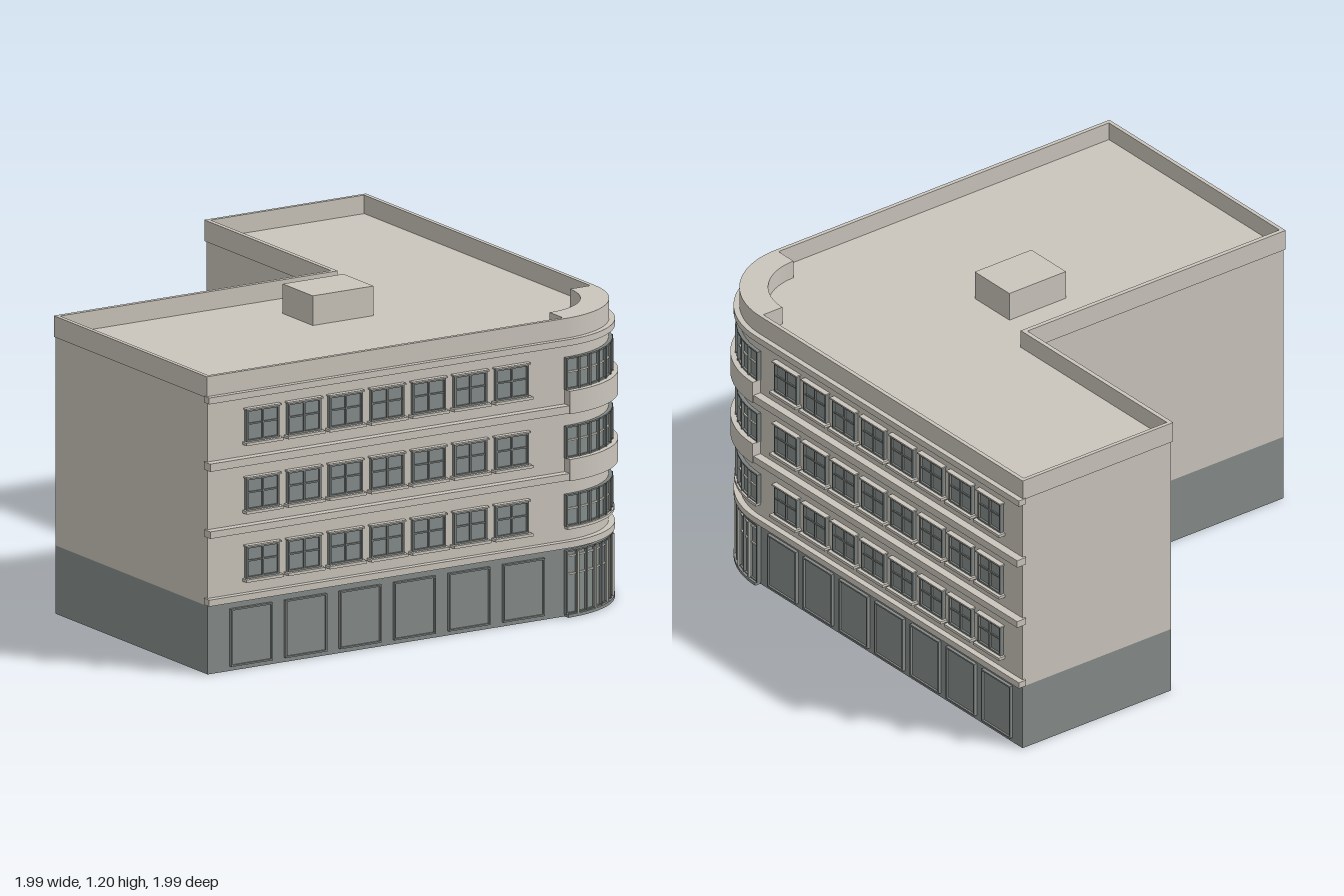
import * as THREE from 'three';
import { toCreasedNormals } from 'three/addons/utils/BufferGeometryUtils.js';

const C = 0.605;          // centre of the rounded corner in x and z
const FACE = 0.96;        // plane of the street walls
const END = 0.985;        // plane of the party walls
const Q = Math.PI / 2;

export function createModel() {
  const model = new THREE.Group();
  model.name = 'cornerBuilding';
  const mat = (name, color) => {
    const m = new THREE.MeshStandardMaterial({ color });
    m.name = name;
    return m;
  };
  const stone = mat('stone', 0xcac5bc);
  const plinth = mat('plinthGrey', 0x858b89);
  const glass = mat('glass', 0x848d8b);
  const frame = mat('frameGrey', 0x7b817f);
  const cream = mat('cream', 0xd9d5c8);

  const add = (parent, name, geo, material) => {
    const m = new THREE.Mesh(geo, material);
    m.name = name;
    parent.add(m);
    return m;
  };
  const box = (parent, name, material, w, h, d, x, y, z) => {
    const m = add(parent, name, new THREE.BoxGeometry(w, h, d), material);
    m.position.set(x, y, z);
    return m;
  };
  // Plan shapes are drawn in x and z, then extruded from y0 to y1
  const slab = (parent, name, shape, y0, y1, material) => {
    const geo = new THREE.ExtrudeGeometry(shape, { depth: y1 - y0, bevelEnabled: false, curveSegments: 24 });
    geo.rotateX(Q).translate(0, y1, 0);
    return add(parent, name, toCreasedNormals(geo, 0.4), material);
  };

  // L-shaped plan, with a rounded, square-notched or thickened street corner
  const plan = (path, face, end, inset, corner) => {
    path.moveTo(-end, -0.1 + inset);
    path.lineTo(0.25 + inset, -0.1 + inset);
    path.lineTo(0.25 + inset, -end);
    path.lineTo(face, -end);
    path.lineTo(face, C);
    if (corner === 'round') path.absarc(C, C, face - C, 0, Q, false);
    if (corner === 'thick') {
      path.lineTo(C + 0.25, C);
      path.absarc(C, C, 0.25, 0, Q, false);
    }
    if (corner === 'notch') path.lineTo(C, C);
    path.lineTo(C, face);
    path.lineTo(-end, face);
    path.closePath();
    return path;
  };
  // Quarter ring around the corner
  const ring = (r0, r1, a0 = 0, a1 = Q) => {
    const s = new THREE.Shape();
    s.absarc(C, C, r1, a0, a1, false);
    s.absarc(C, C, r0, a1, a0, true);
    s.closePath();
    return s;
  };
  // Ribbon along both street fronts
  const strip = (outer, inner, end) => {
    const s = new THREE.Shape();
    s.moveTo(inner, -end);
    s.lineTo(outer, -end);
    s.lineTo(outer, C);
    s.absarc(C, C, outer - C, 0, Q, false);
    s.lineTo(-end, outer);
    s.lineTo(-end, inner);
    s.lineTo(C, inner);
    s.absarc(C, C, inner - C, Q, 0, true);
    s.closePath();
    return s;
  };

  // Main volumes
  slab(model, 'groundFloor', plan(new THREE.Shape(), FACE, END, 0, 'notch'), 0, 0.265, plinth);
  slab(model, 'upperFloors', plan(new THREE.Shape(), FACE, END, 0, 'round'), 0.265, 1.085, stone);
  slab(model, 'groundCornerWall', ring(0.25, 0.355), 0, 0.265, plinth);

  // Parapet, thicker at the rounded corner
  const parapet = plan(new THREE.Shape(), FACE + 0.003, 0.99, -0.006, 'round');
  parapet.holes.push(plan(new THREE.Path(), FACE - 0.014, 0.974, 0.012, 'thick'));
  slab(model, 'parapet', parapet, 1.075, 1.157, stone);
  box(model, 'roofHatch', stone, 0.27, 0.12, 0.21, 0.033, 1.14, 0.205);

  // Ledges between floors
  [[0.27, 0.295, 0.985], [0.535, 0.562, 0.993], [0.795, 0.825, 0.993], [1.055, 1.08, 0.985]]
    .forEach(([y0, y1, o]) => slab(model, 'ledge', strip(o, FACE - 0.01, 0.994), y0, y1, stone));
  [[0.533, 0.617], [0.793, 0.882]].forEach(([y0, y1]) =>
    slab(model, 'cornerBalcony', ring(0.34, 0.392), y0, y1, stone));

  // Cross-barred window standing on a sill, facing +z
  const makeWindow = (w, h) => {
    const g = new THREE.Group();
    g.name = 'window';
    box(g, 'pane', glass, w, h, 0.008, 0, 0, 0.003);
    for (const s of [-1, 1]) {
      box(g, 'sideFrame', frame, 0.007, h, 0.016, s * (w / 2 - 0.0035), 0, 0.008);
      box(g, 'railFrame', frame, w, 0.007, 0.016, 0, s * (h / 2 - 0.0035), 0.008);
    }
    box(g, 'mullion', frame, 0.007, h, 0.014, 0, 0, 0.007);
    box(g, 'transom', frame, w, 0.006, 0.012, 0, 0.006, 0.006);
    box(g, 'head', stone, w + 0.012, 0.006, 0.022, 0, h / 2 + 0.003, 0.011);
    box(g, 'sill', stone, w + 0.02, 0.011, 0.032, 0, -h / 2 - 0.0055, 0.014);
    return g;
  };
  // Framed shop bay, facing +z
  const makeShopBay = (w, h) => {
    const g = new THREE.Group();
    g.name = 'shopBay';
    box(g, 'shopPanel', plinth, w, h, 0.006, 0, 0, 0.002);
    for (const s of [-1, 1]) {
      box(g, 'shopSide', plinth, 0.006, h, 0.014, s * w / 2, 0, 0.006);
      box(g, 'shopRail', plinth, w + 0.006, 0.006, 0.014, 0, s * h / 2, 0.006);
    }
    return g;
  };
  const onFront = (g, x, y) => { g.position.set(x, y, FACE); model.add(g); };
  const onRight = (g, z, y) => { g.position.set(FACE, y, z); g.rotation.y = Q; model.add(g); };

  const floors = [0.413, 0.678, 0.944];
  for (const y of floors) {
    for (let i = 0; i < 7; i++) onFront(makeWindow(0.146, 0.124), -0.747 + i * 0.185, y);
    for (let i = 0; i < 8; i++) onRight(makeWindow(0.138, 0.124), 0.435 - i * 0.1765, y);
  }
  for (let i = 0; i < 6; i++) onFront(makeShopBay(0.178, 0.218), -0.795 + i * 0.2425, 0.13);
  for (let i = 0; i < 7; i++) onRight(makeShopBay(0.168, 0.218), 0.462 - i * 0.2165, 0.13);

  // Curved glazing with evenly spaced mullions
  const glazing = (name, y0, y1, bays, rails, railMat) => {
    const g = new THREE.Group();
    g.name = name;
    model.add(g);
    slab(g, 'curvedGlass', ring(0.345, 0.362), y0, y1, glass);
    for (let i = 0; i <= bays; i++) {
      const a = (i / bays) * Q;
      const m = box(g, 'curvedMullion', frame, 0.018, y1 - y0, 0.007,
        C + 0.365 * Math.cos(a), (y0 + y1) / 2, C + 0.365 * Math.sin(a));
      m.rotation.y = -a;
    }
    for (const y of rails) slab(g, 'curvedRail', ring(0.355, 0.367), y - 0.003, y + 0.003, railMat);
    for (const y of [y0 + 0.003, y1 - 0.003])
      slab(g, 'curvedEdge', ring(0.35, 0.37), y - 0.003, y + 0.003, frame);
  };
  for (const y of floors) glazing('cornerWindow', y - 0.062, y + 0.062, 10, [y + 0.006], cream);
  slab(model, 'cornerSill', ring(0.34, 0.378), 0.341, 0.352, stone);

  // Ground-floor corner shopfront
  glazing('cornerShopfront', 0.01, 0.258, 12, [0.165, 0.235], cream);
  slab(model, 'cornerBase', ring(0.34, 0.38), 0, 0.012, plinth);
  for (let i = 0; i < 6; i++) {
    const a = ((i + 0.5) / 6) * Q;
    const post = box(model, 'shopfrontPost', cream, 0.01, 0.24, 0.006,
      C + 0.374 * Math.cos(a), 0.132, C + 0.374 * Math.sin(a));
    post.rotation.y = -a;
  }
  return model;
}
